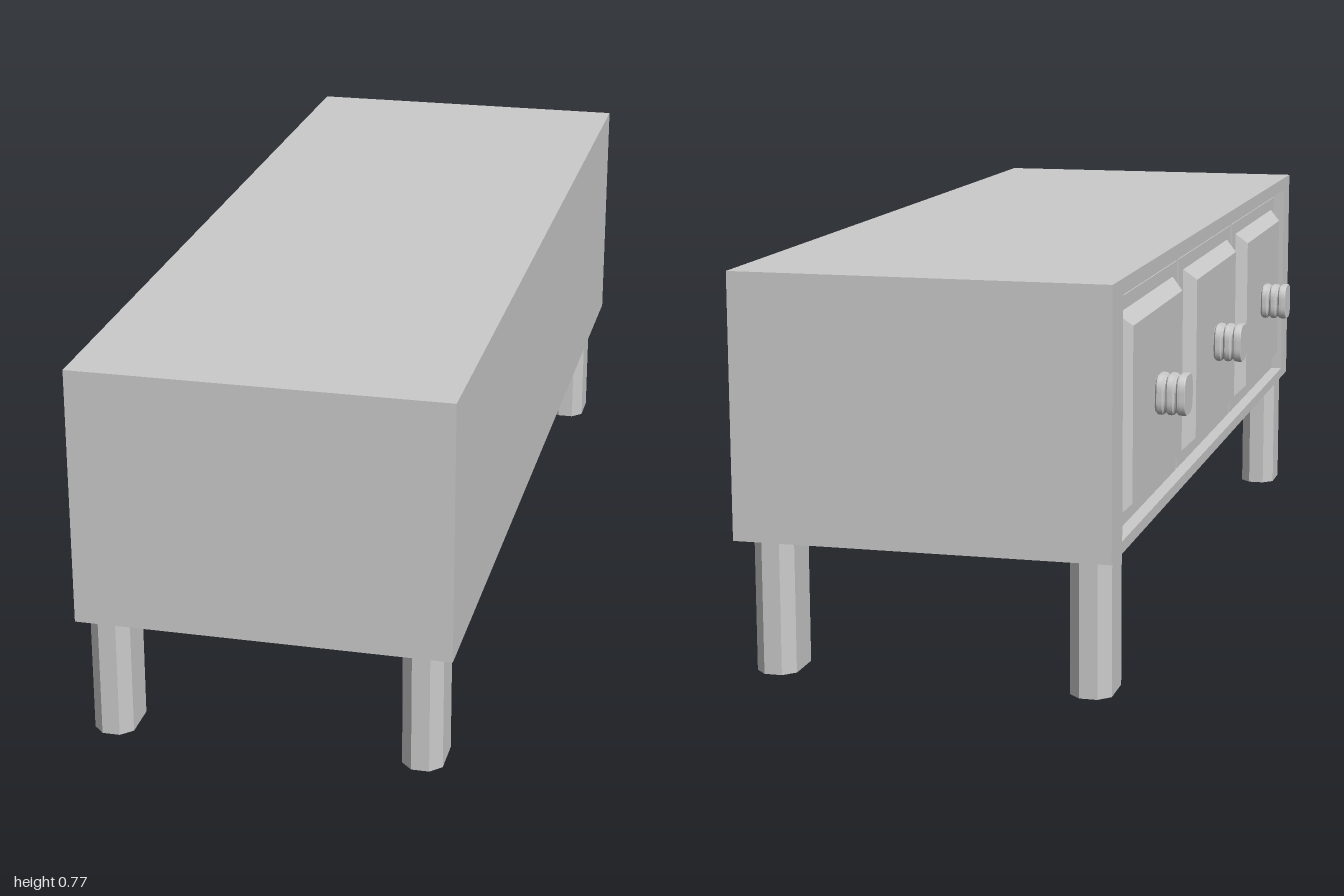
import * as THREE from 'three';
import { toCreasedNormals } from 'three/addons/utils/BufferGeometryUtils.js';

const material = new THREE.MeshStandardMaterial({ color: 0xcccccc });

function add(parent, name, geometry, x, y, z) {
  const mesh = new THREE.Mesh(geometry, material);
  mesh.name = name;
  mesh.position.set(x, y, z);
  parent.add(mesh);
  return mesh;
}

function rectangle(path, x0, y0, x1, y1) {
  path.moveTo(x0, y0);
  path.lineTo(x1, y0);
  path.lineTo(x1, y1);
  path.lineTo(x0, y1);
  path.closePath();
  return path;
}

// Raised panel: a block whose -x face is smaller than its base
function panelGeometry(depth, height, width, inset) {
  const g = new THREE.BoxGeometry(depth, height, width);
  const p = g.attributes.position;
  for (let i = 0; i < p.count; i++) {
    if (p.getX(i) < 0) {
      p.setY(i, p.getY(i) - Math.sign(p.getY(i)) * inset);
      p.setZ(i, p.getZ(i) - Math.sign(p.getZ(i)) * inset);
    }
  }
  g.computeVertexNormals();
  return g;
}

// Leg: rectangular post with chamfered corners
function legGeometry(w, d, c, h) {
  const x = w / 2, y = d / 2;
  const points = [
    [x, c - y], [x, y - c], [x - c, y], [c - x, y],
    [-x, y - c], [-x, c - y], [c - x, -y], [x - c, -y],
  ].map(([a, b]) => new THREE.Vector2(a, b));
  const g = new THREE.ExtrudeGeometry(new THREE.Shape(points), { depth: h, bevelEnabled: false });
  return g.rotateX(-Math.PI / 2);
}

// Knob: ridged turning pressed into a rounded square, pointing to -x
function knobGeometry(r, length) {
  const profile = [new THREE.Vector2(r * 0.88, 0)];
  const ridges = 3;
  for (let i = 0; i < ridges; i++) {
    for (const [t, k] of [[0.08, 0.88], [0.25, 0.98], [0.5, 1], [0.75, 0.98], [0.92, 0.88]]) {
      const last = i === ridges - 1 && t > 0.5;
      profile.push(new THREE.Vector2(r * (last ? 1 : k), length * (i + t) / ridges));
    }
  }
  profile.push(new THREE.Vector2(r * 0.97, length), new THREE.Vector2(0, length));
  const g = new THREE.LatheGeometry(profile, 32);
  const p = g.attributes.position;
  for (let i = 0; i < p.count; i++) {
    const x = p.getX(i), z = p.getZ(i), rad = Math.hypot(x, z);
    if (rad < 1e-6) continue;
    const k = Math.pow(Math.pow(Math.abs(x / rad), 3.5) + Math.pow(Math.abs(z / rad), 3.5), -1 / 3.5);
    p.setX(i, x * k);
    p.setZ(i, z * k);
  }
  g.rotateZ(Math.PI / 2);
  return toCreasedNormals(g, 0.7);
}

export function createModel() {
  const model = new THREE.Group();
  model.name = 'drawerBench';

  // Cabinet with a shallow opening on the drawer side
  const bottom = 0.26, top = 0.77, face = -0.333, back = 0.395, recess = 0.045;
  const inner = face + recess;
  add(model, 'cabinet', new THREE.BoxGeometry(back - inner, top - bottom, 2),
    (back + inner) / 2, (top + bottom) / 2, 0);
  const frame = rectangle(new THREE.Shape(), -1, bottom, 1, top);
  frame.holes.push(rectangle(new THREE.Path(), -0.915, 0.283, 0.915, 0.74));
  const frameGeometry = new THREE.ExtrudeGeometry(frame, { depth: recess, bevelEnabled: false });
  add(model, 'frontFrame', frameGeometry.rotateY(-Math.PI / 2), inner, 0, 0);

  // Three drawers with raised panels and knobs
  const midY = 0.506;
  const slab = new THREE.BoxGeometry(0.03, 0.436, 0.59);
  const panel = panelGeometry(0.025, 0.382, 0.5, 0.024);
  const knob = knobGeometry(0.04, 0.061);
  for (const z of [-0.622, -0.014, 0.594]) {
    const drawer = new THREE.Group();
    drawer.name = 'drawer';
    drawer.position.set(0, midY, z);
    add(drawer, 'drawerFront', slab, -0.297, 0, 0);
    add(drawer, 'raisedPanel', panel, -0.3245, 0, 0);
    add(drawer, 'knob', knob, -0.336, 0, 0);
    model.add(drawer);
  }

  // Four chamfered legs
  const leg = legGeometry(0.079, 0.122, 0.022, bottom);
  for (const x of [-0.286, 0.327]) {
    for (const z of [-0.924, 0.896]) add(model, 'leg', leg, x, 0, z);
  }
  return model;
}
